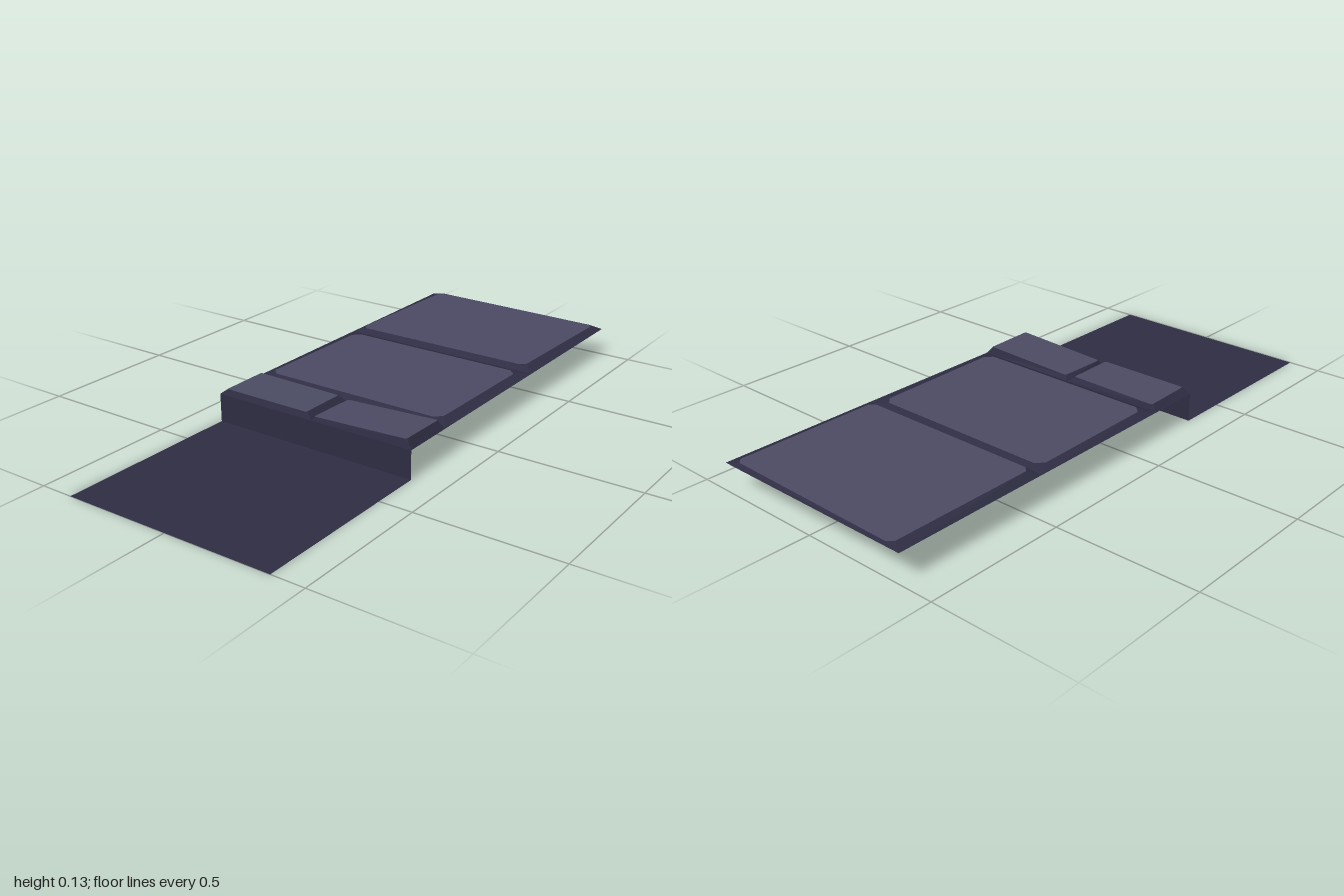
import * as THREE from 'three';

const W = 0.383, BASE = 0.1;

export function createModel() {
  const group = new THREE.Group();
  const dark = new THREE.MeshStandardMaterial({ color: 0x2e2d43, side: THREE.DoubleSide });
  const light = new THREE.MeshStandardMaterial({ color: 0x4c4b64, side: THREE.DoubleSide });
  dark.name = 'dark slate';
  light.name = 'pale slate';

  const add = (name, geometry, material) => {
    const mesh = new THREE.Mesh(geometry, material);
    mesh.name = name;
    group.add(mesh);
    return mesh;
  };

  // Cuts every corner of a four-point loop by the distance c
  const cutCorners = (pts, c) => pts.flatMap((p, i) => {
    const toward = q => p.clone().add(q.clone().sub(p).setLength(c));
    return [toward(pts[(i + 3) % 4]), toward(pts[(i + 1) % 4])];
  });

  // Raised pad: dark bevel from a rectangle up to a pale, corner-cut top.
  // Corners run back right, front right, front left, back left.
  const addPad = (name, [x0, x1, z0, z1], corners, cut) => {
    const base = [[x0, z0], [x0, z1], [x1, z1], [x1, z0]]
      .flatMap(([x, z]) => [new THREE.Vector3(x, BASE, z), new THREE.Vector3(x, BASE, z)]);
    const top = cutCorners(corners.map(p => new THREE.Vector3(...p)), cut);
    const bevel = [], face = [];
    for (let i = 0; i < 8; i++) {
      const j = (i + 1) % 8;
      bevel.push(base[i], top[j], top[i]);
      if (i % 2) bevel.push(base[i], base[j], top[j]);
      if (i > 0 && i < 7) face.push(top[0], top[i], top[j]);
    }
    for (const [part, pts, mat] of [['Bevel', bevel, dark], ['Top', face, light]]) {
      const g = new THREE.BufferGeometry().setFromPoints(pts);
      g.computeVertexNormals();
      add(name + part, g, mat);
    }
  };

  // Lower floor sheet and the riser behind it
  const floor = add('lowerFloor', new THREE.PlaneGeometry(2 * W, 0.67).rotateX(-Math.PI / 2), dark);
  floor.position.z = 0.665;
  const riser = add('riser', new THREE.PlaneGeometry(2 * W, BASE), dark);
  riser.position.set(0, BASE / 2, 0.33);

  // Two narrow pads along the step, the left one sloping up outward
  addPad('rightStepPad', [-W, 0, 0.137, 0.33],
    [[-0.36, 0.12, 0.143], [-0.357, 0.121, 0.322], [-0.024, 0.121, 0.322], [-0.024, 0.12, 0.15]], 0.005);
  addPad('leftStepPad', [0, W, 0.137, 0.33],
    [[0.016, 0.114, 0.15], [0.01, 0.115, 0.325], [0.361, 0.13, 0.325], [0.361, 0.127, 0.145]], 0.005);

  // Two large pads behind, each falling slightly to the back
  addPad('middlePad', [-W, W, -0.43, 0.137],
    [[-0.35, 0.108, -0.4], [-0.35, 0.113, 0.105], [0.342, 0.113, 0.105], [0.342, 0.108, -0.4]], 0.025);
  addPad('backPad', [-W, W, -1, -0.43],
    [[-0.345, 0.112, -0.995], [-0.353, 0.117, -0.448], [0.343, 0.117, -0.45], [0.35, 0.112, -0.986]], 0.018);

  return group;
}
